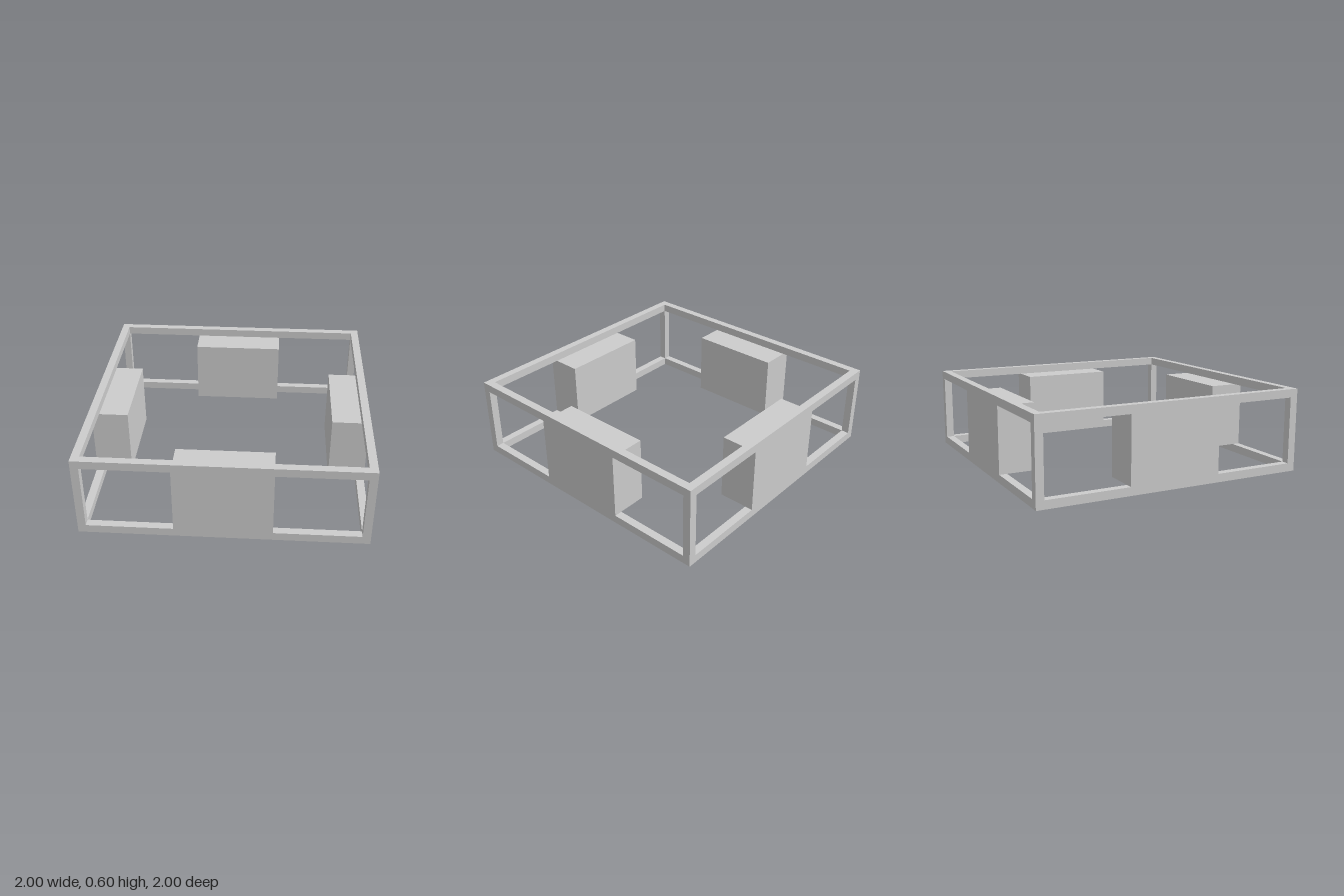
import * as THREE from 'three';

const HEIGHT = 0.6, BAR = 0.057, RAIL = 0.06;
const OPENING = HEIGHT - 2 * RAIL; // clear height between the rings
const material = new THREE.MeshStandardMaterial({ color: 0xcccccc, flatShading: true });

function addBox(parent, name, size, position) {
  const mesh = new THREE.Mesh(new THREE.BoxGeometry(...size), material);
  mesh.name = name;
  mesh.position.set(...position);
  parent.add(mesh);
}

function square(target, h) {
  return target.moveTo(-h, -h).lineTo(h, -h).lineTo(h, h).lineTo(-h, h).closePath();
}

export function createModel() {
  const model = new THREE.Group();
  model.name = 'squareFrame';

  // Top and bottom square rings
  const outline = square(new THREE.Shape(), 1);
  outline.holes.push(square(new THREE.Path(), 1 - BAR));
  const ringGeometry = new THREE.ExtrudeGeometry(outline, { depth: RAIL, bevelEnabled: false });
  ringGeometry.rotateX(-Math.PI / 2);
  for (const [name, y] of [['bottomRing', 0], ['topRing', HEIGHT - RAIL]]) {
    const ring = new THREE.Mesh(ringGeometry, material);
    ring.name = name;
    ring.position.y = y;
    model.add(ring);
  }

  // Each side: one corner post and one block set flush with the outer face
  const blockInner = 0.735, blockWidth = 0.68;
  const post = 1 - BAR / 2;
  ['front', 'left', 'back', 'right'].forEach((name, i) => {
    const side = new THREE.Group();
    side.name = name + 'Side';
    side.rotation.y = i * Math.PI / 2;
    addBox(side, 'cornerPost', [BAR, OPENING, BAR], [post, HEIGHT / 2, post]);
    addBox(side, 'block', [blockWidth, OPENING, 1 - blockInner], [0, HEIGHT / 2, (1 + blockInner) / 2]);
    model.add(side);
  });

  return model;
}
